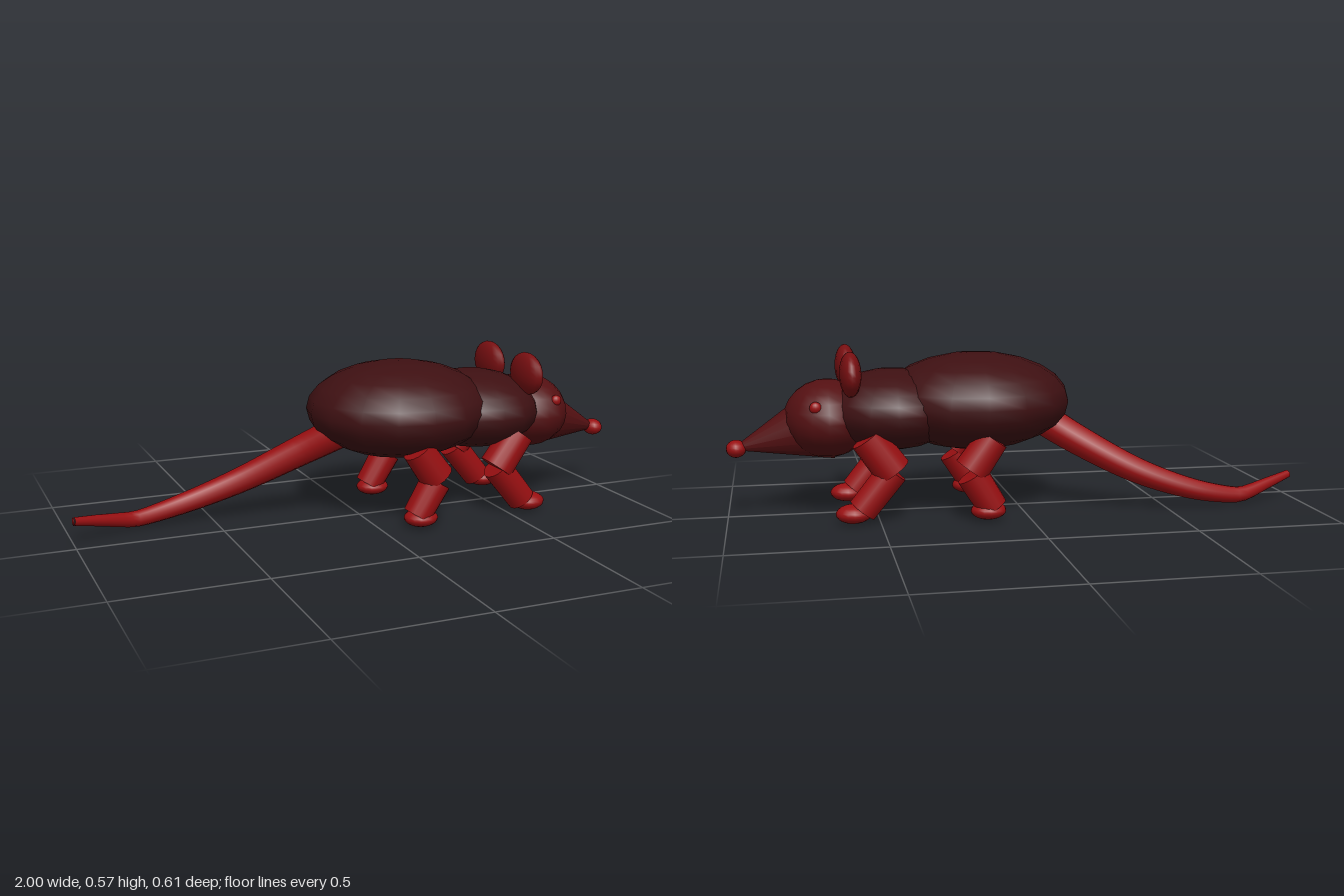
import * as THREE from 'three';

const paint = (name, color) => {
  const m = new THREE.MeshStandardMaterial({ color });
  m.name = name;
  return m;
};

export function createModel() {
  const fur = paint('dark fur', 0x3e1012);
  const face = paint('face fur', 0x541012);
  const earSkin = paint('ear skin', 0x780f11);
  const skin = paint('red skin', 0x980f11);

  const model = new THREE.Group();
  model.name = 'rodent';
  const up = new THREE.Vector3(0, 1, 0);

  const add = (name, geometry, material, parent = model) => {
    const mesh = new THREE.Mesh(geometry, material);
    mesh.name = name;
    parent.add(mesh);
    return mesh;
  };
  const ellipsoid = (name, material, centre, radii, parent) => {
    const mesh = add(name, new THREE.SphereGeometry(1, 16, 12), material, parent);
    mesh.position.set(...centre);
    mesh.scale.set(...radii);
    return mesh;
  };
  // Cylinder or cone running from point a to point b
  const limb = (name, material, a, b, ra, rb, parent) => {
    const start = new THREE.Vector3(...a), end = new THREE.Vector3(...b);
    const axis = end.clone().sub(start);
    const mesh = add(name, new THREE.CylinderGeometry(rb, ra, axis.length(), 16), material, parent);
    mesh.position.copy(start).add(end).multiplyScalar(0.5);
    mesh.quaternion.setFromUnitVectors(up, axis.normalize());
    return mesh;
  };

  // Body and head
  ellipsoid('body', fur, [0.15, 0.382, 0], [0.33, 0.167, 0.307]);
  ellipsoid('shoulders', fur, [0.44, 0.36, 0], [0.24, 0.138, 0.255]);
  ellipsoid('head', face, [0.66, 0.333, 0], [0.148, 0.133, 0.185]);
  limb('snout', face, [0.67, 0.318, 0], [0.98, 0.235, 0], 0.13, 0.002);
  ellipsoid('nose', skin, [0.966, 0.237, 0], [0.034, 0.03, 0.04]);

  for (const [side, s] of [['right', -1], ['left', 1]]) {
    ellipsoid(side + 'Ear', earSkin, [0.588, 0.495, s * 0.136], [0.037, 0.075, 0.099]);
    ellipsoid(side + 'Eye', skin, [0.704, 0.39, s * 0.153], [0.02, 0.02, 0.016]);

    // Front leg, knee pointing back
    const front = new THREE.Group();
    front.name = side + 'FrontLeg';
    front.position.z = s * 0.172;
    limb('upperLeg', skin, [0.54, 0.29, 0], [0.455, 0.172, 0], 0.058, 0.062, front);
    limb('lowerLeg', skin, [0.455, 0.175, 0], [0.56, 0.045, 0], 0.052, 0.05, front);
    ellipsoid('foot', skin, [0.588, 0.035, 0], [0.06, 0.032, 0.055], front);

    // Hind leg, knee pointing forward
    const hind = new THREE.Group();
    hind.name = side + 'HindLeg';
    hind.position.z = s * 0.213;
    limb('upperLeg', skin, [0.125, 0.28, 0], [0.2, 0.175, 0], 0.054, 0.06, hind);
    limb('lowerLeg', skin, [0.197, 0.16, 0], [0.127, 0.045, 0], 0.054, 0.05, hind);
    ellipsoid('foot', skin, [0.142, 0.036, 0], [0.06, 0.03, 0.055], hind);
    model.add(front, hind);
  }

  // Tapering curved tail with a straight tip
  const path = new THREE.CatmullRomCurve3([
    [-0.08, 0.315, 0.01], [-0.2, 0.24, -0.065], [-0.4, 0.135, -0.14], [-0.6, 0.066, -0.166],
    [-0.76, 0.036, -0.152], [-0.79, 0.037, -0.146], [-0.9, 0.061, -0.1], [-0.998, 0.082, -0.055],
  ].map((p) => new THREE.Vector3(...p)));
  const rings = 32, sides = 12;
  const tube = new THREE.TubeGeometry(path, rings, 1, sides);
  const pos = tube.attributes.position;
  const v = new THREE.Vector3();
  for (let i = 0; i < pos.count; i++) {
    const t = Math.floor(i / (sides + 1)) / rings;
    const centre = path.getPointAt(t);
    v.fromBufferAttribute(pos, i).sub(centre).multiplyScalar(0.058 - 0.044 * t * (0.6 + 0.4 * t)).add(centre);
    pos.setXYZ(i, v.x, v.y, v.z);
  }
  add('tail', tube, skin);
  ellipsoid('tailTip', skin, [-0.997, 0.082, -0.055], [0.004, 0.013, 0.013]);

  return model;
}
